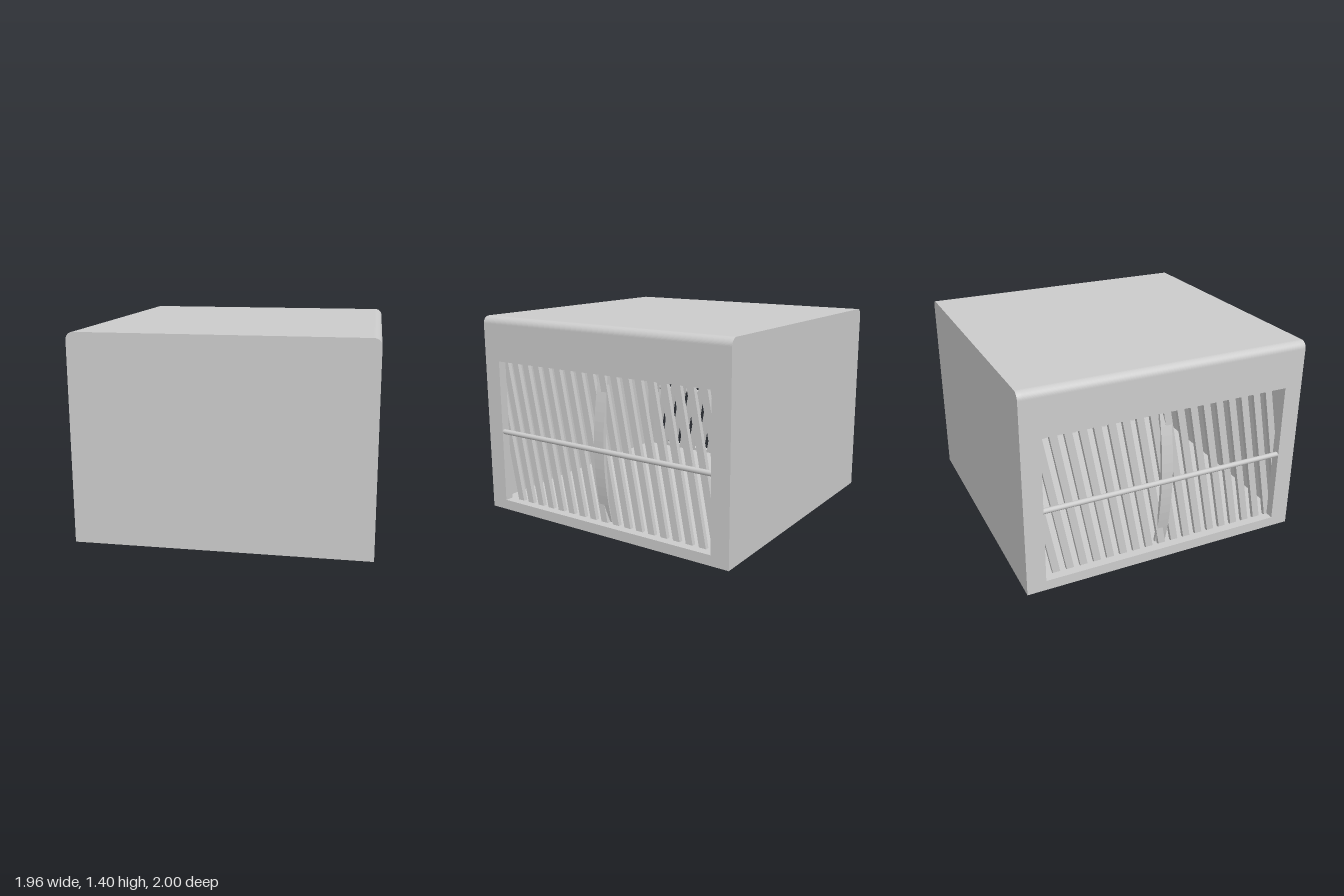
import * as THREE from 'three';

const W = 0.98, H = 1.4, D = 1, R = 0.05, WALL = 0.06;
const OPEN = { z: 0.87, bottom: 0.07, top: 1.09 };

export function createModel() {
  const group = new THREE.Group();
  group.name = 'ventedCabinet';
  const mat = new THREE.MeshStandardMaterial({ color: 0xcccccc, side: THREE.DoubleSide });

  const add = (parent, name, geometry, x = 0, y = 0, z = 0) => {
    const mesh = new THREE.Mesh(geometry, mat);
    mesh.name = name;
    mesh.position.set(x, y, z);
    parent.add(mesh);
    return mesh;
  };
  const extrude = (shape, depth, curveSegments = 6) =>
    new THREE.ExtrudeGeometry(shape, { depth, bevelEnabled: false, curveSegments });

  // Cabinet outline with rounded upper corners, starting at a given height
  const outline = (y0) => {
    const s = new THREE.Shape();
    s.moveTo(-W, y0);
    s.lineTo(W, y0);
    s.lineTo(W, H - R);
    s.absarc(W - R, H - R, R, 0, Math.PI / 2);
    s.lineTo(-W + R, H);
    s.absarc(-W + R, H - R, R, Math.PI / 2, Math.PI);
    s.closePath();
    return s;
  };

  // Front and back panels, roof and floor
  const t = 0.03;
  add(group, 'frontPanel', extrude(outline(0), t), 0, 0, D - t);
  add(group, 'backPanel', extrude(outline(0), t), 0, 0, -D);
  add(group, 'roof', extrude(outline(H - WALL), 2 * (D - t)), 0, 0, -D + t);
  add(group, 'floor', new THREE.BoxGeometry(2 * (W - WALL), 0.05, 2 * (D - t)), 0, 0.025, 0);

  // One vented side facing +x; the other side is the same turned half round
  const makeSide = (name) => {
    const side = new THREE.Group();
    side.name = name;

    // Wall with a rectangular opening
    const wall = new THREE.Shape();
    const d = D - t, h = H - WALL;
    wall.moveTo(-d, 0).lineTo(d, 0).lineTo(d, h).lineTo(-d, h).closePath();
    const hole = new THREE.Path();
    hole.moveTo(-OPEN.z, OPEN.bottom).lineTo(-OPEN.z, OPEN.top);
    hole.lineTo(OPEN.z, OPEN.top).lineTo(OPEN.z, OPEN.bottom).closePath();
    wall.holes.push(hole);
    add(side, 'sideWall', extrude(wall, WALL), W - WALL).rotation.y = Math.PI / 2;

    // Leaning slats, each shifting two pitches over the opening height
    const pitch = 0.097, midY = (OPEN.bottom + OPEN.top) / 2;
    const lean = Math.atan2(2 * pitch, OPEN.top - OPEN.bottom);
    const slat = new THREE.BoxGeometry(0.03, 1.05, 0.05);
    for (let k = -9; k <= 9; k++) {
      add(side, 'slat', slat, W - 0.075, midY, k * pitch).rotation.x = lean;
    }

    // Outward-bowed centre post
    const post = new THREE.Shape();
    post.moveTo(0.89, OPEN.bottom);
    post.quadraticCurveTo(1.03, midY, 0.89, OPEN.top);
    post.lineTo(0.87, OPEN.top);
    post.quadraticCurveTo(1.0, midY, 0.87, OPEN.bottom);
    add(side, 'centrePost', extrude(post, 0.08, 16), 0, 0, -0.04);

    // Round cross rail
    const rail = new THREE.CylinderGeometry(0.018, 0.018, 2 * OPEN.z, 12);
    add(side, 'crossRail', rail, W - 0.02, midY, 0).rotation.x = Math.PI / 2;

    group.add(side);
    return side;
  };
  makeSide('leftSide');
  makeSide('rightSide').rotation.y = Math.PI;

  return group;
}
